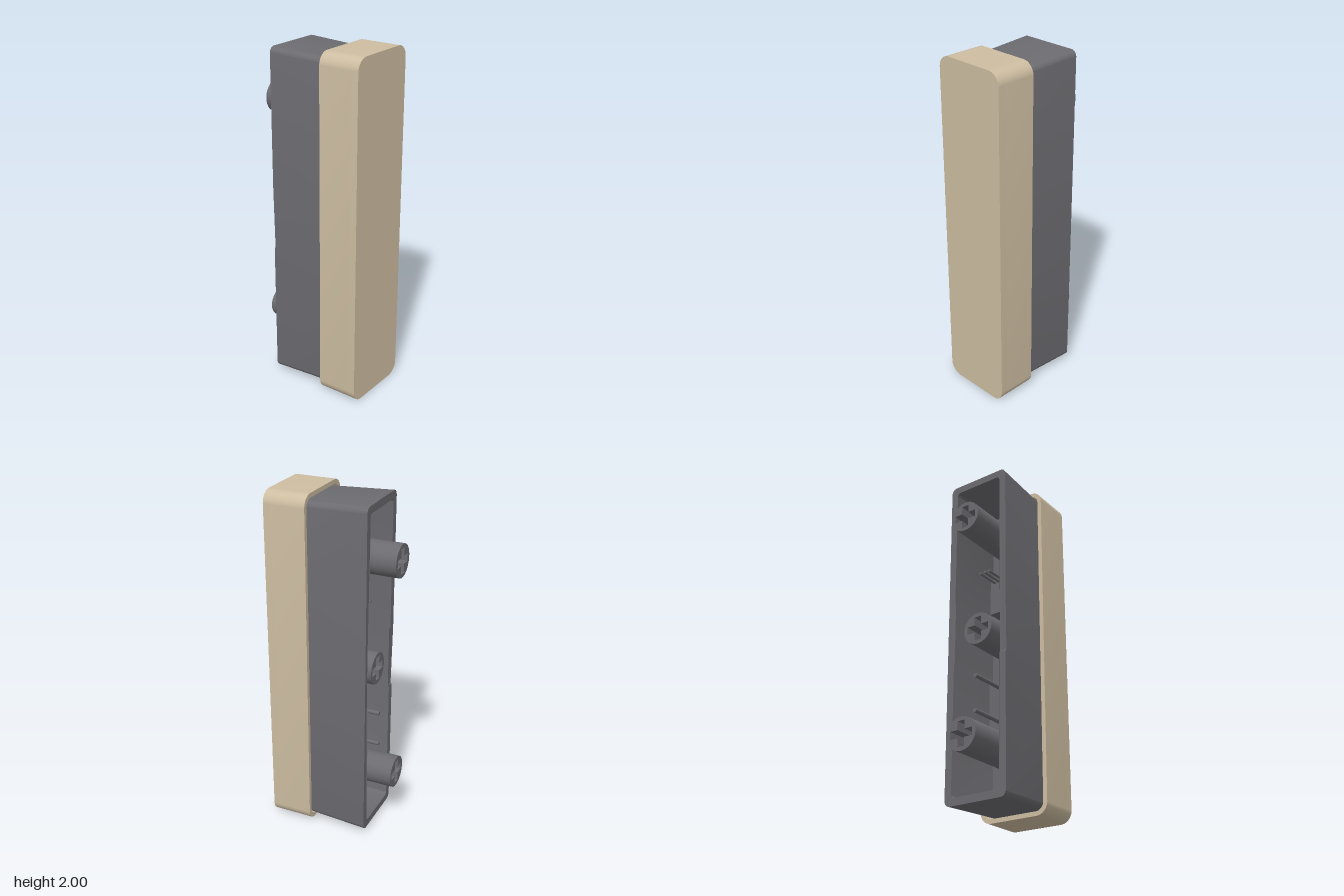
import * as THREE from 'three';
import { toCreasedNormals } from 'three/addons/utils/BufferGeometryUtils.js';

const MID_Y = 1;
const BACK = -0.23;   // open rim of the housing
const SEAM = 0.11;    // rear edge of the cap
const FLOOR = 0.12;   // inner floor of the housing

// Rounded rectangle around the origin; notch adds break points on the long sides
function roundedRect(PathType, hx, hy, r, notch = false) {
  const p = new PathType();
  const side = (s) => {
    if (!notch) return;
    [[-0.19, 0.0003], [-0.18, 0.0006], [0.18, 0.0006], [0.19, 0.0003]]
      .forEach(([y, bulge]) => p.lineTo(s * (hx + bulge), s * y));
  };
  p.moveTo(hx, -hy + r);
  side(1);
  p.absarc(hx - r, hy - r, r, 0, Math.PI / 2);
  p.absarc(-hx + r, hy - r, r, Math.PI / 2, Math.PI);
  side(-1);
  p.absarc(-hx + r, -hy + r, r, Math.PI, Math.PI * 1.5);
  p.absarc(hx - r, -hy + r, r, Math.PI * 1.5, Math.PI * 2);
  return p;
}

function extrude(shape, z0, z1, curveSegments = 10) {
  const g = new THREE.ExtrudeGeometry(shape, { depth: z1 - z0, bevelEnabled: false, curveSegments });
  return g.translate(0, 0, z0);
}

export function createModel() {
  const tan = new THREE.MeshStandardMaterial({ color: 0xcdbda1 });
  tan.name = 'tan';
  const grey = new THREE.MeshStandardMaterial({ color: 0x6c6b70 });
  grey.name = 'dark grey';

  const model = new THREE.Group();
  model.name = 'model';
  const add = (name, geometry, material, parent = model) => {
    const mesh = new THREE.Mesh(geometry, material);
    mesh.name = name;
    parent.add(mesh);
    return mesh;
  };
  const box = (name, w, h, x, y, z0, z1, parent) =>
    add(name, new THREE.BoxGeometry(w, h, z1 - z0).translate(x, y, (z0 + z1) / 2), grey, parent);

  // Cap: hollow skirt closed by a face plate
  const skirt = roundedRect(THREE.Shape, 0.217, 1, 0.07);
  skirt.holes.push(roundedRect(THREE.Path, 0.192, 0.975, 0.048));
  const cap = new THREE.Group();
  cap.name = 'cap';
  model.add(cap);
  const plate = roundedRect(THREE.Shape, 0.217, 1, 0.07);
  [['capSkirt', skirt, SEAM, 0.31], ['capFace', plate, 0.31, 0.35]].forEach(([name, s, a, b]) =>
    add(name, toCreasedNormals(extrude(s, a, b).translate(0, MID_Y, 0), 0.6), tan, cap));

  // Housing: open tapered tube with a shallow notch in each long rim
  const tube = roundedRect(THREE.Shape, 0.178, 0.955, 0.035, true);
  tube.holes.push(roundedRect(THREE.Path, 0.136, 0.912, 0.02, true));
  const shell = extrude(tube, BACK, 0.31);
  const pos = shell.attributes.position;
  for (let i = 0; i < pos.count; i++) {
    const x = pos.getX(i), y = pos.getY(i), z = pos.getZ(i);
    const flare = Math.max(0, SEAM - z);
    const notched = z < BACK + 0.001 && Math.abs(y) < 0.185;
    pos.setXYZ(i, x + Math.sign(x) * flare * 0.05, y + Math.sign(y) * flare * 0.066 *
      (Math.abs(y) > 0.5 ? 1 : 0), notched ? z + 0.007 : z);
  }
  add('housing', toCreasedNormals(shell.translate(0, MID_Y, 0), 0.5), grey);
  box('housingFloor', 0.29, 1.84, 0, MID_Y, FLOOR, FLOOR + 0.03);

  // Posts with a cross-shaped socket in the end
  const R = 0.093, SOCKET = 0.13, L = 0.07, W = 0.022;
  [['lowerPost', 0.353, -0.35], ['middlePost', 1.0, -0.22], ['upperPost', 1.655, -0.35]]
    .forEach(([name, y, tip]) => {
      const post = new THREE.Group();
      post.name = name;
      post.position.y = y;
      model.add(post);
      const ring = new THREE.Shape().absarc(0, 0, R, 0, Math.PI * 2);
      ring.holes.push(new THREE.Path([
        [L, W], [W, W], [W, L], [-W, L], [-W, W], [-L, W],
        [-L, -W], [-W, -W], [-W, -L], [W, -L], [W, -W], [L, -W],
      ].map(([a, b]) => new THREE.Vector2(a, b))));
      add('socket', toCreasedNormals(extrude(ring, tip, tip + SOCKET, 18), 0.6), grey, post);
      const len = FLOOR - tip - SOCKET;
      add('stem', new THREE.CylinderGeometry(R, R, len, 36).rotateX(Math.PI / 2)
        .translate(0, 0, FLOOR - len / 2), grey, post);
    });

  // Inner components: a block with two long pins, and a block with three short pins
  const pin = (name, x, y, tip, base, r) =>
    add(name, new THREE.CylinderGeometry(r, r, base - tip, 10).rotateX(Math.PI / 2)
      .translate(x, y, (tip + base) / 2), grey);
  box('lowerBlock', 0.16, 0.3, 0, 0.615, 0.0, FLOOR);
  [0.515, 0.715].forEach((y) => pin('longPin', 0, y, -0.237, 0.01, 0.012));
  box('upperBlock', 0.12, 0.22, 0, 1.29, -0.02, FLOOR);
  [-0.03, 0, 0.03].forEach((x) => pin('shortPin', x, 1.38, -0.16, 0, 0.008));

  return model;
}
